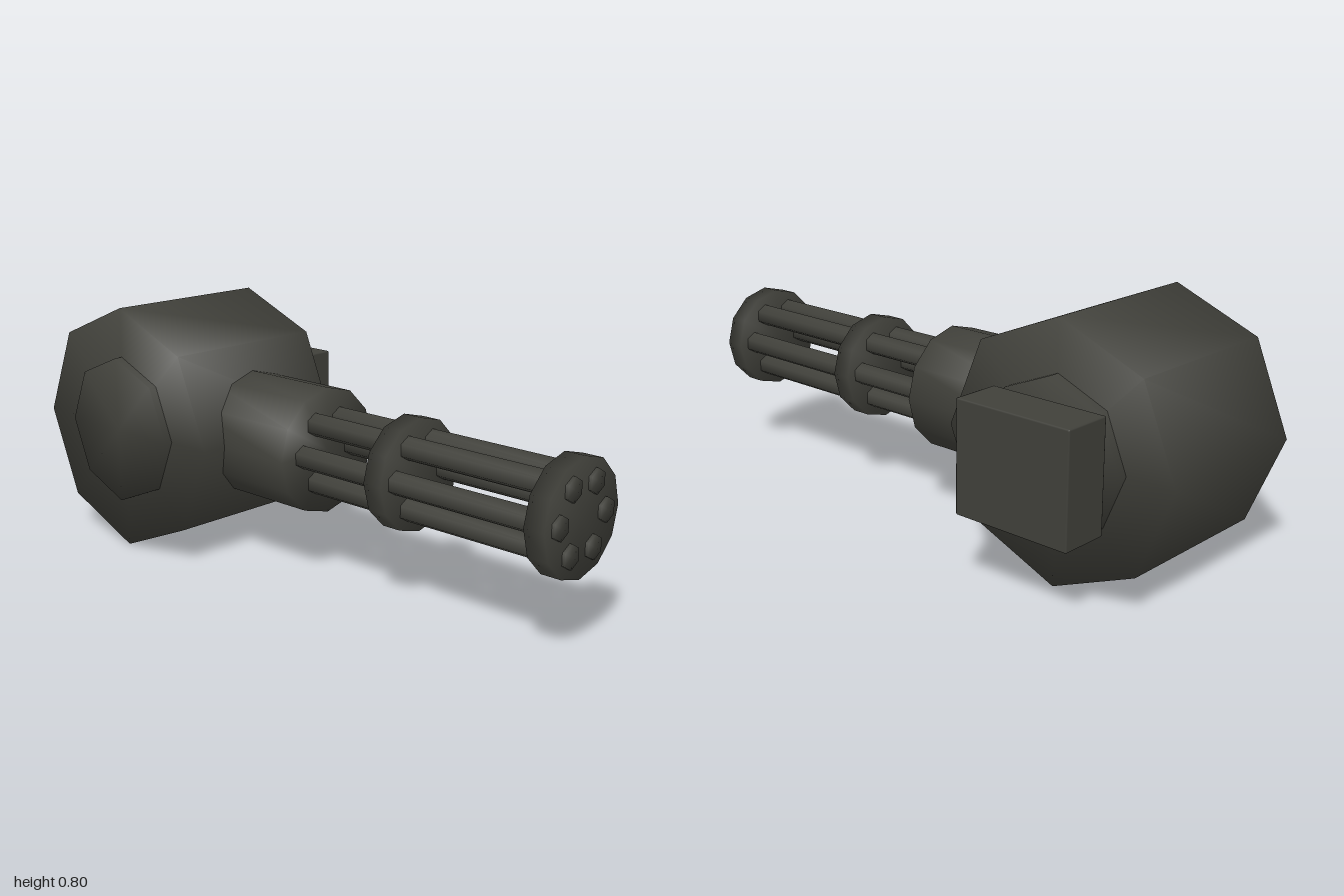
import * as THREE from 'three';
import { mergeVertices } from 'three/addons/utils/BufferGeometryUtils.js';
import { RoundedBoxGeometry } from 'three/addons/geometries/RoundedBoxGeometry.js';

const AXIS_Y = 0.4, AXIS_Z = 0.087;

// Prism between two positions on its axis, with normals smoothed over all edges
function smoothPrism(radius, from, to, sides, axis, thetaStart = 0) {
  let g = new THREE.CylinderGeometry(radius, radius, to - from, sides, 1, false, thetaStart);
  g.deleteAttribute('normal');
  g.deleteAttribute('uv');
  g = mergeVertices(g, 1e-4);
  g.computeVertexNormals();
  const mid = (from + to) / 2;
  if (axis === 'x') g.rotateZ(-Math.PI / 2).translate(mid, 0, 0);
  else g.rotateX(Math.PI / 2).translate(0, 0, mid);
  return g;
}

export function createModel() {
  const model = new THREE.Group();
  model.name = 'rotaryGun';
  const gunmetal = new THREE.MeshStandardMaterial({ color: 0x40403a });
  gunmetal.name = 'gunmetal';

  const add = (name, geometry, x, y, z) => {
    const mesh = new THREE.Mesh(geometry, gunmetal);
    mesh.name = name;
    mesh.position.set(x, y, z);
    model.add(mesh);
  };

  // Octagonal drum and the smaller hub through it
  add('drum', smoothPrism(0.4, -0.193, 0.367, 8, 'z'), -0.6, AXIS_Y, 0);
  add('hub', smoothPrism(0.24, -0.22, 0.393, 8, 'z'), -0.6, AXIS_Y, 0);

  // Mounting block behind the drum
  add('mountBlock', new RoundedBoxGeometry(0.395, 0.346, 0.158, 1, 0.005), -0.602, 0.401, -0.314);

  // Barrel housing, running into the drum
  add('barrelHousing', smoothPrism(0.2, -0.4, 0.055, 12, 'x'), 0, AXIS_Y, AXIS_Z);

  // Clamp rings
  add('middleRing', smoothPrism(0.173, 0.365, 0.43, 12, 'x'), 0, AXIS_Y, AXIS_Z);
  add('muzzleRing', smoothPrism(0.173, 0.926, 0.991, 12, 'x'), 0, AXIS_Y, AXIS_Z);

  // Six hexagonal barrels in a circle
  const barrel = smoothPrism(0.037, 0, 1, 6, 'x', Math.PI / 2);
  for (let i = 0; i < 6; i++) {
    const a = (i * Math.PI) / 3;
    add(`barrel${i + 1}`, barrel, 0, AXIS_Y + 0.107 * Math.sin(a), AXIS_Z + 0.107 * Math.cos(a));
  }
  return model;
}
